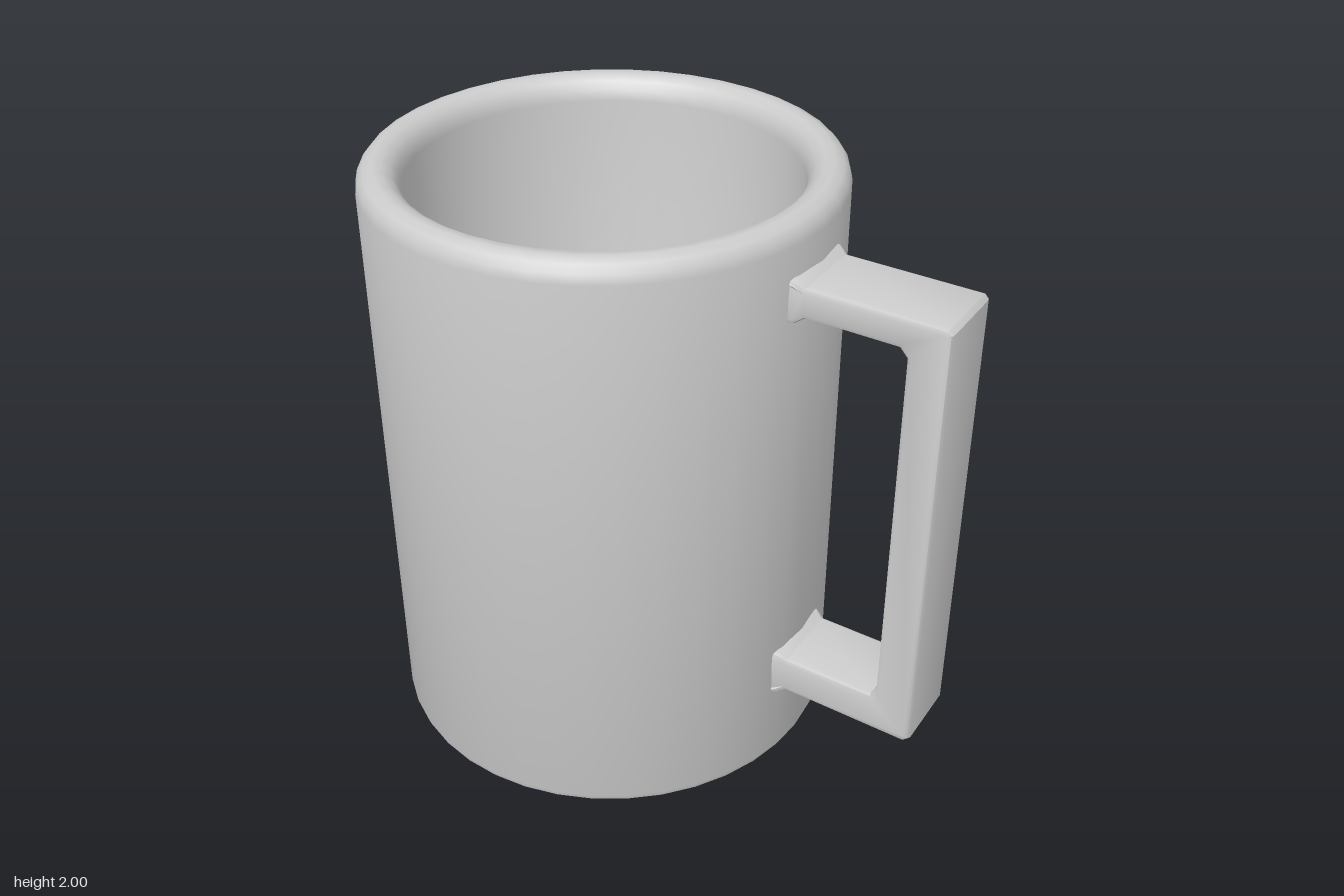
import * as THREE from 'three';
import { toCreasedNormals } from 'three/addons/utils/BufferGeometryUtils.js';

const CUP_X = -0.245;
const material = new THREE.MeshStandardMaterial({ color: 0xcccccc });
const points = (list) => list.map(([x, y]) => new THREE.Vector2(x, y));

// Cup: one closed wall profile, from the underside over the rim to the inner floor
function makeCup() {
  const profile = points([
    [0, 0], [0.73, 0], [0.748, 0.01], [0.755, 0.03],
    [0.755, 1.935], [0.748, 1.965], [0.73, 1.987], [0.7, 2],
    [0.67, 1.997], [0.645, 1.98], [0.627, 1.955], [0.62, 1.92],
    [0.62, 0.16], [0.61, 0.14], [0.59, 0.13], [0, 0.13],
  ]);
  const cup = new THREE.Mesh(toCreasedNormals(new THREE.LatheGeometry(profile, 40), 0.6), material);
  cup.name = 'cup';
  cup.position.x = CUP_X;
  return cup;
}

// Handle: flat C-shaped bracket with bevelled edges, flaring where it meets the cup
function makeHandle() {
  const outline = points([
    [0.46, 0.28], [0.505, 0.285], [0.535, 0.305], [0.97, 0.302], [0.99, 0.32],
    [0.99, 1.8], [0.975, 1.815], [0.535, 1.815], [0.505, 1.835], [0.46, 1.84],
    [0.46, 1.69], [0.505, 1.695], [0.535, 1.715], [0.835, 1.715], [0.858, 1.69],
    [0.858, 0.455], [0.84, 0.437], [0.535, 0.437], [0.505, 0.455], [0.46, 0.46],
  ]);
  const depth = 0.27, bevel = 0.018;
  const geometry = new THREE.ExtrudeGeometry(new THREE.Shape(outline), {
    depth: depth - 2 * bevel, bevelEnabled: true, bevelThickness: bevel,
    bevelSize: bevel, bevelOffset: -bevel, bevelSegments: 2,
  });
  geometry.translate(0, 0, bevel - depth / 2);

  // Widen the roots, and skew the bracket slightly towards the front
  const p = geometry.attributes.position;
  for (let i = 0; i < p.count; i++) {
    const x = p.getX(i);
    const flare = x < 0.525 ? 1.1 : 1;
    p.setZ(i, p.getZ(i) * flare + 0.02 + (x - 0.5) * 0.03);
  }
  const handle = new THREE.Mesh(toCreasedNormals(geometry, 0.6), material);
  handle.name = 'handle';
  return handle;
}

export function createModel() {
  const mug = new THREE.Group();
  mug.name = 'mug';
  mug.add(makeCup(), makeHandle());
  return mug;
}
